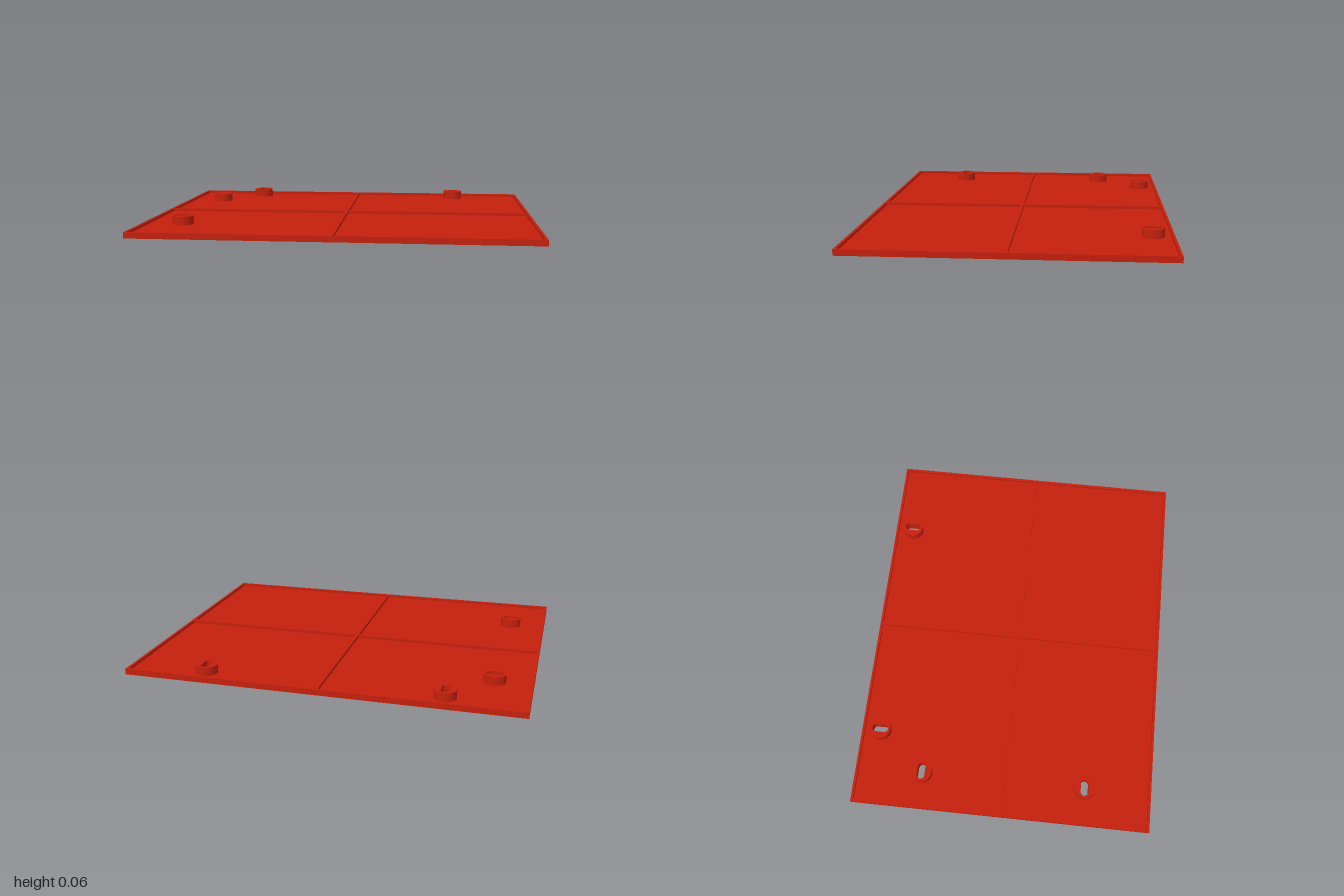
import * as THREE from 'three';

const W = 2, D = 1.56, FLOOR = 0.015, RIM_TOP = 0.03, BOSS_TOP = 0.06;
const RIM = 0.013, RIB = 0.016;
const BOSS_R = 0.055, SLOT_R = 0.02, SLOT_HALF = 0.022;

// [x, z, slot runs along z]
const MOUNTS = [
  [-0.605, -0.68, true],
  [0.6, -0.68, true],
  [-0.81, -0.43, false],
  [-0.81, 0.43, false],
];

function rect(Type, x0, y0, x1, y1) {
  const s = new Type();
  s.moveTo(x0, y0).lineTo(x1, y0).lineTo(x1, y1).lineTo(x0, y1).closePath();
  return s;
}

// Rounded slot outline; shape y is -z in the model
function slot(x, z, alongZ) {
  const p = new THREE.Path(), a = alongZ ? Math.PI / 2 : 0;
  const dx = Math.cos(a) * SLOT_HALF, dy = Math.sin(a) * SLOT_HALF;
  p.absarc(x + dx, -z + dy, SLOT_R, a - Math.PI / 2, a + Math.PI / 2, false);
  p.absarc(x - dx, -z - dy, SLOT_R, a + Math.PI / 2, a + Math.PI * 1.5, false);
  p.closePath();
  return p;
}

// Extrude a plan outline upward between two heights
function slab(name, shape, y0, y1, material) {
  const g = new THREE.ExtrudeGeometry(shape, { depth: y1 - y0, bevelEnabled: false, curveSegments: 24 });
  g.rotateX(-Math.PI / 2).translate(0, y0, 0);
  const mesh = new THREE.Mesh(g, material);
  mesh.name = name;
  return mesh;
}

export function createModel() {
  const model = new THREE.Group();
  model.name = 'slottedPanel';
  const red = new THREE.MeshStandardMaterial({ color: 0xc4200c });
  red.name = 'red';

  // Floor plate pierced by the slots
  const floor = rect(THREE.Shape, -W / 2, -D / 2, W / 2, D / 2);
  floor.holes = MOUNTS.map((m) => slot(...m));
  model.add(slab('floorPlate', floor, 0, FLOOR, red));

  // Raised rim with the crossing ribs
  const frame = rect(THREE.Shape, -W / 2, -D / 2, W / 2, D / 2);
  const xs = [[-W / 2 + RIM, -RIB / 2], [RIB / 2, W / 2 - RIM]];
  const ys = [[-D / 2 + RIM, -RIB / 2], [RIB / 2, D / 2 - RIM]];
  for (const [x0, x1] of xs) {
    for (const [y0, y1] of ys) frame.holes.push(rect(THREE.Path, x0, y0, x1, y1));
  }
  model.add(slab('rimAndRibs', frame, FLOOR, RIM_TOP, red));

  // Round mounting bosses with slotted holes
  for (const [x, z, alongZ] of MOUNTS) {
    const disc = new THREE.Shape();
    disc.absarc(x, -z, BOSS_R, 0, Math.PI * 2, false);
    disc.holes.push(slot(x, z, alongZ));
    model.add(slab('mountingBoss', disc, FLOOR, BOSS_TOP, red));
  }
  return model;
}
